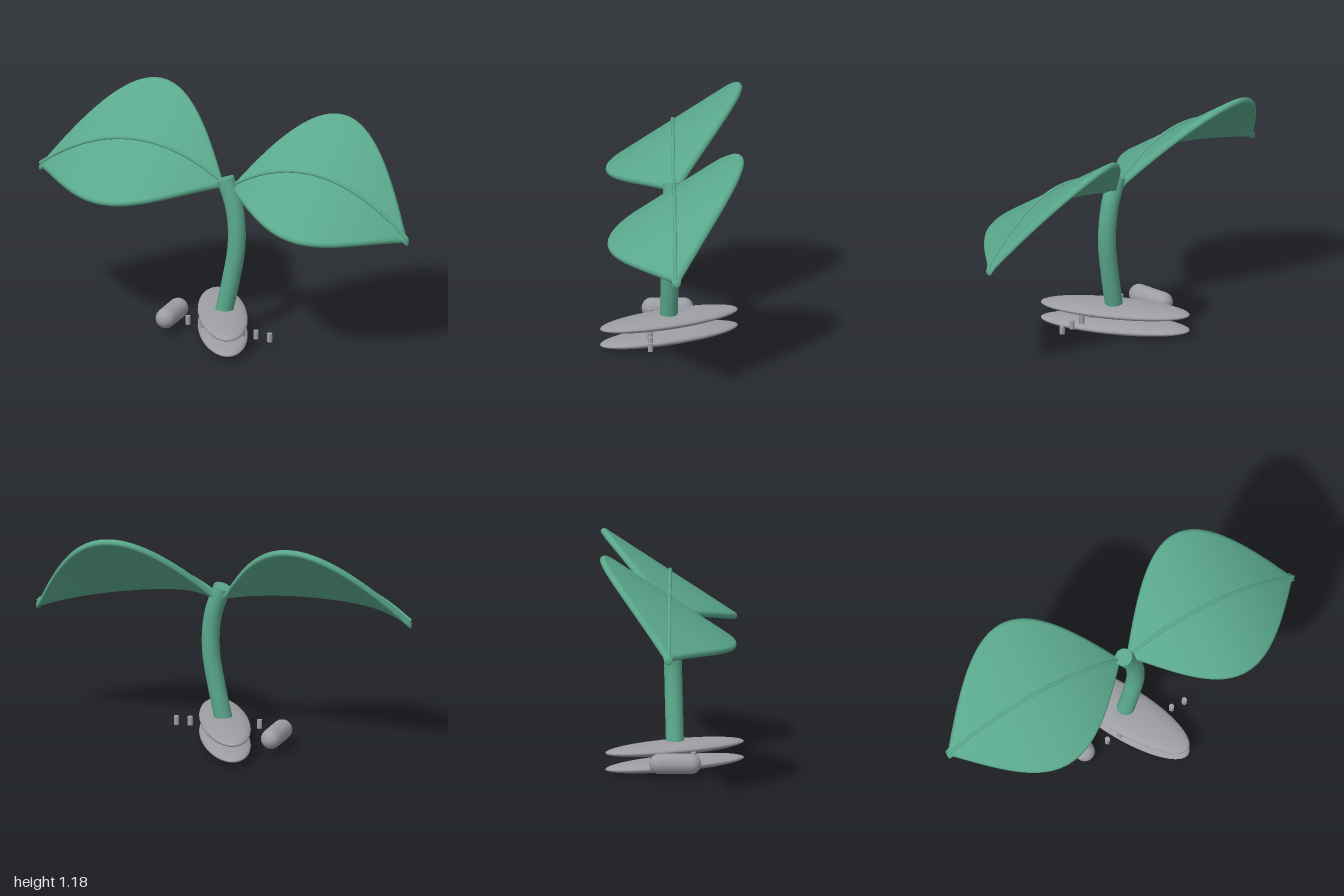
import * as THREE from 'three';

const SLOPE = Math.atan(0.66);   // leaf blades tilt up toward the back
const HALF = 0.017;              // half thickness of a blade

// Arched centre line of a leaf, t = 0 at the stem and 1 at the tip
function centre(leaf, t) {
  return new THREE.Vector3(
    THREE.MathUtils.lerp(leaf.x0, leaf.x1, t),
    THREE.MathUtils.lerp(leaf.y0, leaf.y1, t) + leaf.arch * 4 * t * (1 - t),
    -0.014
  );
}

// Leaf blade: rounded thin cross-sections swept along the centre line
function bladeGeometry(leaf) {
  const rings = 48, arc = 6, flat = 6;
  const c = Math.cos(SLOPE), s = Math.sin(SLOPE);
  const pos = [], idx = [];
  let n = 0;
  for (let i = 0; i <= rings; i++) {
    const t = i / rings;
    const p = centre(leaf, t);
    const w = Math.max(0.004, 0.405 * Math.sin(Math.PI * t) - HALF);
    const ring = [];
    for (const side of [1, -1]) {
      for (let k = 0; k <= arc; k++) {
        const a = -Math.PI / 2 + Math.PI * k / arc;
        ring.push([side * (w + HALF * Math.cos(a)), side * HALF * Math.sin(a)]);
      }
      for (let k = 1; k < flat; k++) {
        ring.push([side * w * (1 - 2 * k / flat), side * HALF]);
      }
    }
    n = ring.length;
    for (const [a, b] of ring) pos.push(p.x, p.y - a * s + b * c, p.z + a * c + b * s);
  }
  const flip = leaf.x1 > leaf.x0;
  const tri = (a, b, d) => (flip ? idx.push(a, d, b) : idx.push(a, b, d));
  for (let i = 0; i < rings; i++) {
    for (let j = 0; j < n; j++) {
      const a = i * n + j, b = i * n + (j + 1) % n;
      tri(a, b, a + n);
      tri(b, b + n, a + n);
    }
  }
  // close both ends
  const last = rings * n;
  for (let j = 1; j < n - 1; j++) {
    tri(0, j + 1, j);
    tri(last, last + j, last + j + 1);
  }
  const g = new THREE.BufferGeometry();
  g.setAttribute('position', new THREE.Float32BufferAttribute(pos, 3));
  g.setIndex(idx);
  g.computeVertexNormals();
  return g;
}

export function createModel() {
  const model = new THREE.Group();
  const green = new THREE.MeshStandardMaterial({ color: 0x5aa88c });
  green.name = 'leaf green';
  const grey = new THREE.MeshStandardMaterial({ color: 0x9c9ea3 });
  grey.name = 'stone grey';

  const add = (parent, name, geometry, material, x = 0, y = 0, z = 0) => {
    const mesh = new THREE.Mesh(geometry, material);
    mesh.name = name;
    mesh.position.set(x, y, z);
    parent.add(mesh);
    return mesh;
  };

  // Leaves, each with a raised midrib
  const leaves = [
    { name: 'rightLeaf', x0: 0.0, x1: -0.995, y0: 0.785, y1: 0.75, arch: 0.185 },
    { name: 'leftLeaf', x0: 0.035, x1: 0.99, y0: 0.775, y1: 0.63, arch: 0.195 },
  ];
  for (const leaf of leaves) {
    const group = new THREE.Group();
    group.name = leaf.name;
    add(group, 'blade', bladeGeometry(leaf), green);
    const points = [];
    for (let i = 0; i <= 12; i++) {
      points.push(centre(leaf, i / 12).add(new THREE.Vector3(0, 0.02, 0.006)));
    }
    const rib = new THREE.TubeGeometry(new THREE.CatmullRomCurve3(points), 40, 0.009, 8);
    add(group, 'midrib', rib, green);
    model.add(group);
  }

  // Curved stem with a flat top
  const path = new THREE.CatmullRomCurve3([
    new THREE.Vector3(0.005, 0.11, 0.018),
    new THREE.Vector3(0.045, 0.3, 0.013),
    new THREE.Vector3(0.075, 0.5, 0.008),
    new THREE.Vector3(0.062, 0.68, 0.003),
    new THREE.Vector3(0.01, 0.835, 0),
  ]);
  add(model, 'stem', new THREE.TubeGeometry(path, 40, 0.045, 24), green);
  const cap = add(model, 'stemTop', new THREE.CircleGeometry(0.045, 24), green);
  cap.position.copy(path.getPoint(1));
  cap.lookAt(path.getPoint(1).add(path.getTangent(1)));

  // Two flat oval stones
  for (const [name, y] of [['upperStone', 0.117], ['lowerStone', 0.034]]) {
    const stone = add(model, name, new THREE.SphereGeometry(1, 40, 24), grey, 0.003, y, 0.016);
    stone.scale.set(0.122, 0.033, 0.383);
    stone.rotation.y = THREE.MathUtils.degToRad(27);
  }

  // Rounded roll lying beside the stones
  const roll = add(model, 'roll', new THREE.CapsuleGeometry(0.051, 0.158, 8, 24), grey, -0.27, 0.085, 0.02);
  roll.rotation.x = Math.PI / 2;

  // Row of small pegs
  for (let i = 0; i < 7; i++) {
    const peg = new THREE.CylinderGeometry(0.013, 0.013, 0.044, 16);
    add(model, 'peg', peg, grey, -0.146 + i * 0.0737, 0.097 - i * 0.005, 0.11);
  }

  return model;
}
